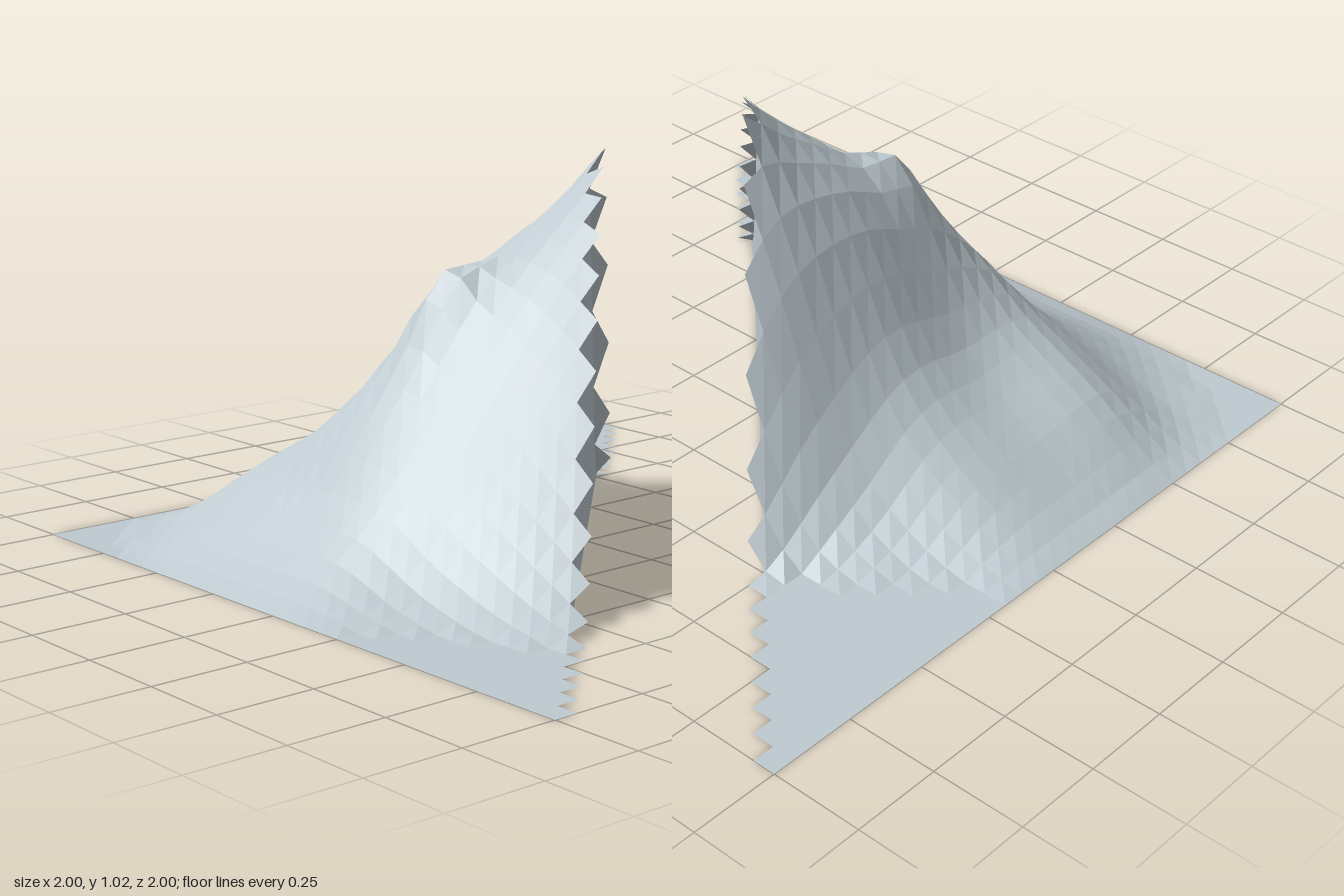
import * as THREE from 'three';

const N = 32, STEP = 2 / N;

// Coarse heights in hundredths: rows z = -1..1, columns x = -1..1, every 0.25
const HEIGHTS = [
  [0, 0, 0, 0, 0, 0, 0, 0, 0],
  [0, 4, 16, 14, 12, 1, 0, 0, 0],
  [0, 12, 29, 31, 33, 18, 1, 0, 0],
  [0, 14, 45, 65, 77, 74.5, 36, 0, 0],
  [0, 14, 42, 70, 92, 113, 90, 0, 0],
  [0, 5, 29, 58, 82, 100, 0, 0, 0],
  [0, 0, 14, 37, 60, 0, 0, 0, 0],
  [0, 0, 0, 10, 0, 0, 0, 0, 0],
  [0, 0, 0, 0, 0, 0, 0, 0, 0],
];

const at = (r, c) => HEIGHTS[Math.min(8, Math.max(0, r))][Math.min(8, Math.max(0, c))] / 100;

// Smooth interpolation through four evenly spaced values
function cubic(a, b, c, d, t) {
  return b + 0.5 * t * (c - a + t * (2 * a - 5 * b + 4 * c - d + t * (3 * (b - c) + d - a)));
}

const bump = (x, z, cx, cz, r) => Math.exp(-((x - cx) ** 2 + (z - cz) ** 2) / (r * r));

function height(x, z) {
  const u = (x + 1) * 4, v = (z + 1) * 4;
  const c = Math.floor(u), r = Math.floor(v);
  const row = (k) => cubic(at(k, c - 1), at(k, c), at(k, c + 1), at(k, c + 2), u - c);
  let h = cubic(row(r - 1), row(r), row(r + 1), row(r + 2), v - r);
  h += 0.1 * bump(x, z, -0.33, -0.18, 0.1);   // shoulder
  h += 0.03 * bump(x, z, 0.19, -0.12, 0.07);  // summit
  return h < 0.006 ? 0 : h;
}

function meshFrom(name, points, material) {
  const g = new THREE.BufferGeometry();
  g.setAttribute('position', new THREE.Float32BufferAttribute(points.flat(), 3));
  g.computeVertexNormals();
  const mesh = new THREE.Mesh(g, material);
  mesh.name = name;
  return mesh;
}

export function createModel() {
  const group = new THREE.Group();
  group.name = 'mountainSection';
  const stone = new THREE.MeshStandardMaterial({ color: 0xbfcbd1, flatShading: true, side: THREE.DoubleSide });
  stone.name = 'paleStone';

  const P = (i, j) => {
    const x = -1 + i * STEP, z = -1 + j * STEP;
    return [x, height(x, z), z];
  };

  // Terrain: square cells up to the stepped diagonal edge
  const terrain = [];
  for (let j = 0; j < N; j++) {
    for (let i = 0; i + j < N; i++) {
      const a = P(i, j), b = P(i + 1, j), c = P(i, j + 1), d = P(i + 1, j + 1);
      terrain.push(a, c, b, b, c, d);
    }
  }
  group.add(meshFrom('terrain', terrain, stone));

  // Upright cut face along the diagonal
  const wall = [];
  for (let i = 0; i < N; i++) {
    const a = P(i, N - i), b = P(i + 1, N - i - 1);
    if (a[1] + b[1] === 0) continue;
    const a0 = [a[0], 0, a[2]], b0 = [b[0], 0, b[2]];
    wall.push(a0, b0, b, a0, b, a);
  }
  group.add(meshFrom('cutFace', wall, stone));

  // Flat underside
  group.add(meshFrom('base', [[-1, 0, -1], [1, 0, -1], [-1, 0, 1]], stone));
  return group;
}
